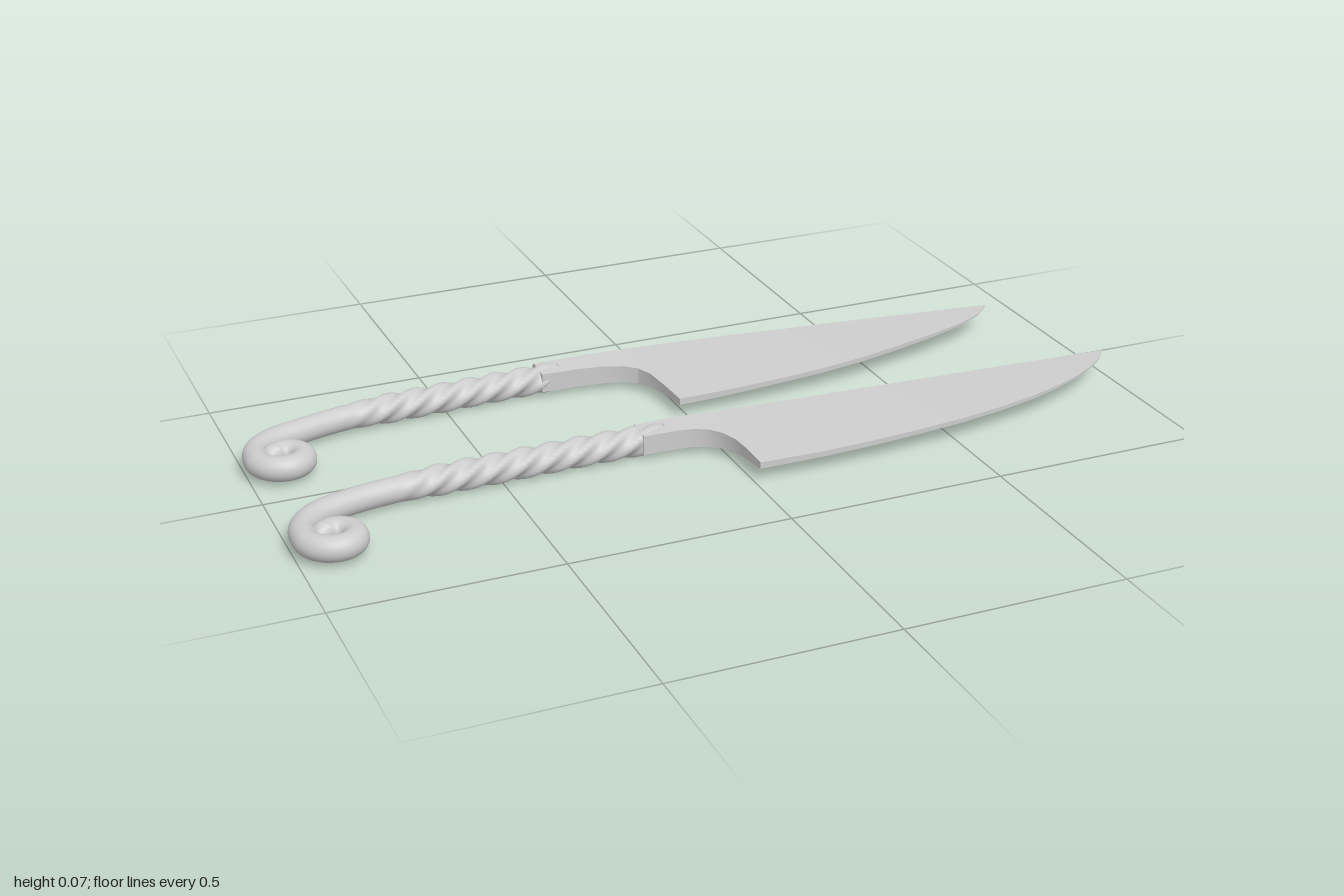
import * as THREE from 'three';
import { toCreasedNormals } from 'three/addons/utils/BufferGeometryUtils.js';

const MID = 0.036; // height of the handle axis above the ground

// Skin a list of equal-sized rings into a closed solid
function loft(rings) {
  const n = rings[0].length, pos = [], idx = [];
  rings.forEach(r => r.forEach(p => pos.push(p.x, p.y, p.z)));
  for (let i = 0; i < rings.length - 1; i++) {
    for (let j = 0; j < n; j++) {
      const k = (j + 1) % n;
      const a = i * n + j, b = a + n, c = (i + 1) * n + k, d = i * n + k;
      idx.push(a, b, d, b, c, d);
    }
  }
  const end = (rings.length - 1) * n;
  for (let j = 1; j < n - 1; j++) {
    idx.push(0, j, j + 1);
    idx.push(end, end + j + 1, end + j);
  }
  const g = new THREE.BufferGeometry();
  g.setAttribute('position', new THREE.Float32BufferAttribute(pos, 3));
  g.setIndex(idx);
  g.computeVertexNormals();
  return g;
}

// Round bar that starts in a scroll, hooks round and becomes a four-strand twist
function handleGeometry({ scroll, hook, twistEnd }) {
  const pts = [];
  for (let i = 0; i <= 28; i++) {
    const t = i / 28, a = -Math.PI + 2 * Math.PI * t, rho = 0.032 + 0.03 * t ** 3;
    pts.push(new THREE.Vector3(scroll[0] + rho * Math.cos(a), MID, scroll[1] + rho * Math.sin(a)));
  }
  hook.forEach(([x, z]) => pts.push(new THREE.Vector3(x, MID, z)));
  const curve = new THREE.CatmullRomCurve3(pts);
  curve.arcLengthDivisions = 800;
  const steps = 280, sides = 32, len = curve.getLength(), up = new THREE.Vector3(0, 1, 0);
  const rings = [];
  for (let i = 0; i <= steps; i++) {
    const u = i / steps, c = curve.getPointAt(u);
    const side = curve.getTangentAt(u).cross(up).normalize();
    const twist = u < 0.4 ? 0
      : THREE.MathUtils.smoothstep(c.x, -0.76, -0.62) * (1 - THREE.MathUtils.smoothstep(c.x, twistEnd - 0.04, twistEnd));
    const base = 0.0285 + 0.0025 * twist;
    const cap = Math.sqrt(Math.min(1, 0.05 + u / 0.02)); // rounded inner end
    const ring = [];
    for (let j = 0; j < sides; j++) {
      const th = j / sides * Math.PI * 2;
      const wave = Math.cos(4 * (th - 2 * Math.PI * u * len / 0.26));
      const r = (base + 0.004 * twist * wave) * cap;
      ring.push(c.clone().addScaledVector(side, r * Math.cos(th)).addScaledVector(up, r * Math.sin(th)));
    }
    rings.push(ring);
  }
  return loft(rings);
}

// Wedge blade: stations are [x, spine z, edge z]; it thins toward the edge and the tip
function bladeGeometry(stations) {
  const tip = stations[stations.length - 1][0];
  const rings = stations.map(([x, zs, ze]) => {
    const u = Math.max(0, x / tip);
    const t = 0.027 * (1 - u) + 0.0008;
    const te = t * Math.max(0.28, 1 - 2.9 * (ze - zs));
    const y = MID + 0.002 + 0.017 * u;
    const c = Math.min(0.35 * t, 0.3 * (ze - zs));
    const p = (h, z) => new THREE.Vector3(x, y + h, z);
    return [p(-te, ze), p(te, ze), p(t, zs + c), p(0.65 * t, zs), p(-0.65 * t, zs), p(-t, zs + c)];
  });
  return toCreasedNormals(loft(rings), 0.45);
}

const knives = [
  {
    name: 'frontKnife',
    scroll: [-0.91, 0.27],
    hook: [[-0.968, 0.211], [-0.928, 0.16], [-0.848, 0.128], [-0.72, 0.107], [-0.45, 0.096], [-0.12, 0.091]],
    twistEnd: -0.12,
    blade: [
      [-0.18, 0.06, 0.125], [-0.1, 0.059, 0.126], [-0.065, 0.061, 0.132], [-0.035, 0.063, 0.145],
      [-0.012, 0.065, 0.17], [0.003, 0.066, 0.205], [0.009, 0.067, 0.245], [0.013, 0.067, 0.316],
      [0.16, 0.073, 0.322], [0.28, 0.078, 0.32], [0.4, 0.082, 0.313], [0.52, 0.087, 0.302],
      [0.62, 0.09, 0.286], [0.72, 0.094, 0.264], [0.8, 0.097, 0.238], [0.87, 0.1, 0.209],
      [0.93, 0.102, 0.174], [0.97, 0.104, 0.143], [1, 0.105, 0.107],
    ],
  },
  {
    name: 'backKnife',
    scroll: [-0.913, -0.126],
    hook: [[-0.968, -0.179], [-0.928, -0.222], [-0.842, -0.254], [-0.72, -0.283], [-0.505, -0.297], [-0.22, -0.31]],
    twistEnd: -0.22,
    blade: [
      [-0.27, -0.343, -0.276], [-0.185, -0.343, -0.273], [-0.12, -0.342, -0.265], [-0.078, -0.34, -0.25],
      [-0.05, -0.339, -0.228], [-0.034, -0.338, -0.195], [-0.024, -0.337, -0.131], [-0.018, -0.336, -0.056],
      [0.08, -0.33, -0.056], [0.16, -0.324, -0.059], [0.26, -0.315, -0.064], [0.35, -0.305, -0.072],
      [0.46, -0.296, -0.088], [0.56, -0.286, -0.11], [0.68, -0.273, -0.141], [0.78, -0.262, -0.174],
      [0.84, -0.256, -0.205], [0.885, -0.25, -0.247],
    ],
  },
];

export function createModel() {
  const model = new THREE.Group();
  model.name = 'knifePair';
  const material = new THREE.MeshStandardMaterial({ color: 0xcccccc });
  for (const k of knives) {
    const knife = new THREE.Group();
    knife.name = k.name;
    const handle = new THREE.Mesh(handleGeometry(k), material);
    handle.name = 'twistedHandle';
    const blade = new THREE.Mesh(bladeGeometry(k.blade), material);
    blade.name = 'blade';
    knife.add(handle, blade);
    model.add(knife);
  }
  return model;
}
